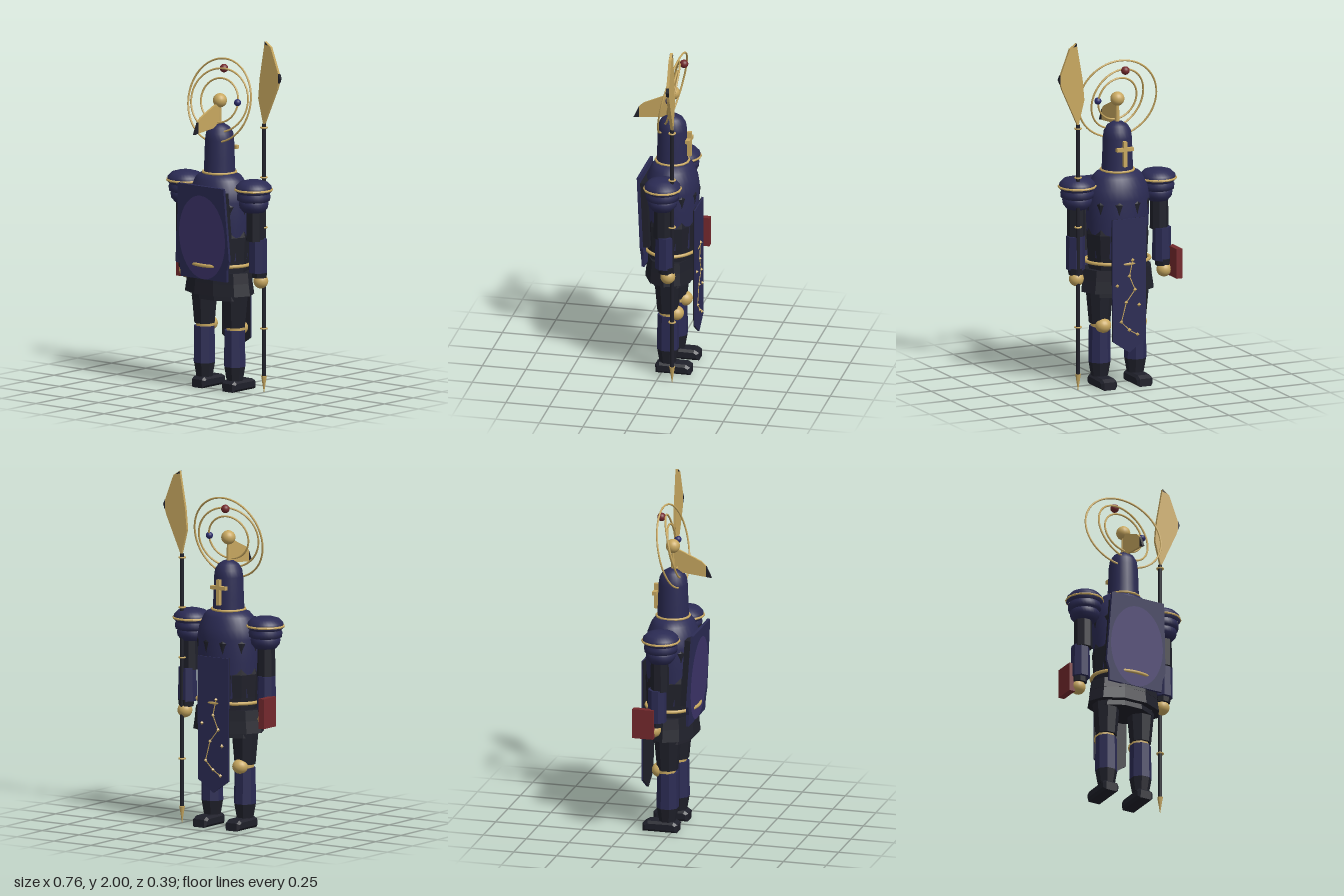
import * as THREE from 'three';

const mat = (name, color, extra = {}) => {
  const m = new THREE.MeshStandardMaterial({ color, ...extra });
  m.name = name;
  return m;
};

export function createModel() {
  const navy = mat('navy plate', 0x2b2b54);
  const navyFacet = mat('navy faceted plate', 0x2b2b54, { flatShading: true });
  const dark = mat('dark cloth', 0x1f202a, { flatShading: true });
  const gold = mat('gold', 0xc8a860);
  const goldFacet = mat('gold faceted', 0xc8a860, { flatShading: true });
  const purple = mat('purple', 0x3d346b, { side: THREE.DoubleSide });
  const red = mat('red', 0x74292d);
  const blue = mat('blue', 0x2b2c6c);

  const model = new THREE.Group();
  const body = new THREE.Group();
  body.name = 'body';
  body.position.set(-0.023, 0, -0.03);
  model.add(body);

  const add = (name, geo, m, x = 0, y = 0, z = 0, parent = body) => {
    const mesh = new THREE.Mesh(geo, m);
    mesh.name = name;
    mesh.position.set(x, y, z);
    parent.add(mesh);
    return mesh;
  };
  const V = (x, y) => new THREE.Vector2(x, y);
  const lathe = (pts, seg = 32) => new THREE.LatheGeometry(pts.map(p => V(...p)), seg);
  const ball = r => new THREE.SphereGeometry(r, 20, 14);
  const ring = (r, t, seg = 40) => new THREE.TorusGeometry(r, t, 8, seg).rotateX(Math.PI / 2);
  // tapered limb between two heights
  const limb = (rTop, rBot, y0, y1, seg = 8) =>
    new THREE.CylinderGeometry(rTop, rBot, y1 - y0, seg).rotateY(Math.PI / seg).translate(0, (y0 + y1) / 2, 0);
  // flat outline with thickness and an optional chamfer
  const plate = (pts, depth, bevel = 0) => {
    const g = new THREE.ExtrudeGeometry(new THREE.Shape(pts.map(p => V(...p))), {
      depth, bevelEnabled: bevel > 0, bevelSize: bevel, bevelThickness: bevel, bevelSegments: 1,
    });
    return g.translate(0, 0, -depth / 2);
  };

  // Torso: smooth shell over a faceted dark core whose corners break through
  add('torso', lathe([[0.162, 0.68], [0.17, 0.75], [0.181, 0.95], [0.185, 1.08], [0.174, 1.14],
    [0.146, 1.2], [0.125, 1.222], [0.09, 1.236], [0, 1.24]]), navy).scale.z = 0.82;
  add('torsoCore', lathe([[0.174, 0.66], [0.178, 0.75], [0.186, 0.88], [0.174, 0.94], [0.182, 1.0],
    [0.19, 1.06], [0.165, 1.12], [0, 1.13]], 10).rotateY(Math.PI / 10), dark).scale.z = 0.82;
  add('collar', ring(0.094, 0.007, 14), gold, 0, 1.235);
  add('belt', ring(0.182, 0.01), gold, 0, 0.72).scale.set(1.03, 1, 0.825);

  // Layered skirt
  [[0.206, 0.214, 0.62, 0.68], [0.212, 0.224, 0.55, 0.622], [0.175, 0.18, 0.52, 0.56]].forEach(([a, b, y0, y1]) => {
    add('skirtTier', limb(a, b, y0, y1, 10), dark).scale.z = 0.66;
  });

  // Cape board on the +z side, leaning inwards at the bottom
  const cape = new THREE.Group();
  cape.name = 'cape';
  cape.position.set(0, 0.9, 0.144);
  cape.rotation.x = 0.055;
  body.add(cape);
  add('capeBoard', plate([[-0.19, -0.14], [-0.172, -0.19], [-0.168, -0.26], [0.168, -0.26], [0.172, -0.19], [0.19, -0.14],
    [0.168, 0.275], [-0.168, 0.275]], 0.016), navyFacet, 0, 0, 0, cape);
  add('capeLining', plate([[-0.178, -0.14], [0.178, -0.14], [0.16, 0.24], [-0.16, 0.24]], 0.036), dark, 0, 0, -0.026, cape);
  const oval = add('capeOval', new THREE.CircleGeometry(1, 40), purple, 0, -0.02, 0.0095, cape);
  oval.scale.set(0.168, 0.24, 1);

  // Long tabard with a pointed hem on the -z side, lined in dark cloth
  const hem = [[-0.106, 0.98], [-0.102, 0.28], [0, 0.21], [0.102, 0.28], [0.106, 0.98]];
  add('tabard', plate(hem, 0.008), navyFacet, 0, 0, -0.151);
  add('tabardLining', plate(hem, 0.004), dark, 0, 0, -0.145);
  const stars = [[-0.02, 0.74], [0, 0.65], [-0.035, 0.57], [0.02, 0.5], [0.05, 0.39], [0.0, 0.34], [-0.05, 0.31],
    [-0.06, 0.48], [0.075, 0.6]];
  stars.forEach(([x, y], i) => {
    add('tabardStar', new THREE.OctahedronGeometry(0.012), goldFacet, x, y, -0.156);
    if (i < 1 || i > 6) return;
    const [px, py] = stars[i - 1];
    const line = add('tabardLine', new THREE.BoxGeometry(0.005, Math.hypot(x - px, y - py), 0.004), gold,
      (x + px) / 2, (y + py) / 2, -0.156);
    line.rotation.z = -Math.atan2(x - px, y - py);
  });

  // Helmet with a cross on its face
  add('helmet', lathe([[0.089, 1.235], [0.086, 1.3], [0.082, 1.42], [0.076, 1.46], [0.058, 1.49], [0.03, 1.508], [0, 1.512]], 24), navy);
  add('crossUpright', new THREE.BoxGeometry(0.02, 0.145, 0.025), gold, 0, 1.34, -0.097);
  add('crossBar', new THREE.BoxGeometry(0.102, 0.02, 0.025), gold, 0, 1.366, -0.097);

  // Crest: stem, orb and trailing fin
  add('crestStem', limb(0.01, 0.012, 1.5, 1.62, 10), gold);
  add('crestOrb', ball(0.04), gold, 0.001, 1.64, -0.002);
  const fin = [[0.0, 1.495], [0.0, 1.615], [0.04, 1.62], [0.165, 1.565], [0.192, 1.54], [0.2, 1.476]];
  add('crestFin', plate(fin.map(([z, y]) => [-z, y]), 0.013).rotateY(Math.PI / 2), goldFacet);
  add('crestFinTip', plate([[-0.192, 1.54], [-0.224, 1.473], [-0.192, 1.477]], 0.0145).rotateY(Math.PI / 2), dark);

  // Tilted orbit rings with two small planets
  [[0.236, -0.22, -0.05], [0.18, -0.24, 0.2], [0.125, -0.2, 0.1]].forEach(([r, rx, ry]) => {
    add('orbitRing', new THREE.TorusGeometry(r, 0.0055, 8, 64), gold, 0, 1.64, 0).rotation.set(rx, ry, 0);
  });
  add('redPlanet', ball(0.024), red, -0.02, 1.812, -0.062);
  add('bluePlanet', ball(0.02), blue, 0.125, 1.64, -0.008);

  for (const s of [-1, 1]) {
    // Legs, with the knee showing in the gap between thigh and greave
    const leg = new THREE.Group();
    leg.name = s > 0 ? 'leftLeg' : 'rightLeg';
    leg.position.x = s * 0.111;
    body.add(leg);
    add('thigh', limb(0.078, 0.06, 0.364, 0.56), dark, 0, 0, 0, leg);
    add('knee', ball(1), gold, 0, 0.355, -0.047, leg).scale.set(0.046, 0.042, 0.044);
    add('kneeJoint', limb(0.055, 0.055, 0.346, 0.365), gold, 0, 0, -0.008, leg);
    add('greave', limb(0.06, 0.063, 0.14, 0.347), navyFacet, 0, 0, 0, leg);
    add('ankle', limb(0.062, 0.048, 0.06, 0.14), dark, 0, 0, 0, leg);
    add('foot', plate([[0.05, 0.014], [0.052, 0.04], [0.04, 0.048], [-0.105, 0.046], [-0.122, 0.036], [-0.122, 0.014]]
      .map(([z, y]) => [-z, y]).reverse(), 0.07, 0.014).rotateY(Math.PI / 2), dark, 0, 0, 0, leg);

    // Arms with three-layer pauldrons
    const arm = new THREE.Group();
    arm.name = s > 0 ? 'leftArm' : 'rightArm';
    arm.position.x = s * 0.25;
    body.add(arm);
    add('pauldronDome', lathe([[0.09, 1.14], [0.104, 1.155], [0.1, 1.18], [0.078, 1.203], [0.04, 1.214], [0, 1.217]]), navy, 0, 0, 0, arm);
    add('pauldronRim', ring(0.103, 0.007, 14), goldFacet, 0, 1.161, 0, arm);
    add('pauldronMiddle', lathe([[0.07, 1.09], [0.092, 1.1], [0.095, 1.125], [0.085, 1.15]]), navy, 0, 0, 0, arm);
    add('pauldronLower', lathe([[0, 1.03], [0.06, 1.035], [0.08, 1.06], [0.084, 1.085], [0.075, 1.1]]), navy, 0, 0, 0, arm);
    add('upperArm', limb(0.05, 0.053, 0.87, 1.06), dark, s * 0.008, 0, -0.004, arm);
    add('forearm', limb(0.052, 0.054, 0.69, 0.88), navyFacet, s * 0.018, 0, -0.016, arm);
    add('cuff', limb(0.046, 0.042, 0.66, 0.7), dark, s * 0.02, 0, -0.026, arm);
    add('hand', ball(0.042), gold, s * 0.022, 0.638, -0.036, arm);
  }

  // Book held at the right hand
  add('book', new THREE.BoxGeometry(0.036, 0.17, 0.122), red, -0.341, 0.686, -0.112, model);

  // Spear
  const spear = new THREE.Group();
  spear.name = 'spear';
  spear.position.set(0.251, 0, -0.091);
  model.add(spear);
  add('shaft', limb(0.011, 0.011, 0.08, 1.53, 10), dark, 0, 0, 0, spear);
  add('buttSpike', limb(0.016, 0.001, 0.0, 0.095, 10), goldFacet, 0, 0, 0, spear);
  for (const y of [0.365, 0.94, 1.225, 1.508]) add('shaftRing', ring(0.017, 0.005, 16), gold, 0, y, 0, spear);
  add('blade', plate([[0.002, 1.52], [0.101, 1.74], [0.12, 1.8], [0.054, 1.972], [0.012, 2.0],
    [-0.025, 1.79], [-0.036, 1.67]], 0.016), goldFacet, 0, 0, 0, spear);
  add('bladePoint', plate([[0.112, 1.772], [0.123, 1.8], [0.112, 1.826]], 0.018), dark, 0, 0, 0, spear);
  add('bladeTip', plate([[0.01, 1.985], [0.036, 1.979], [0.012, 2.0]], 0.018), dark, 0, 0, 0, spear);

  return model;
}
